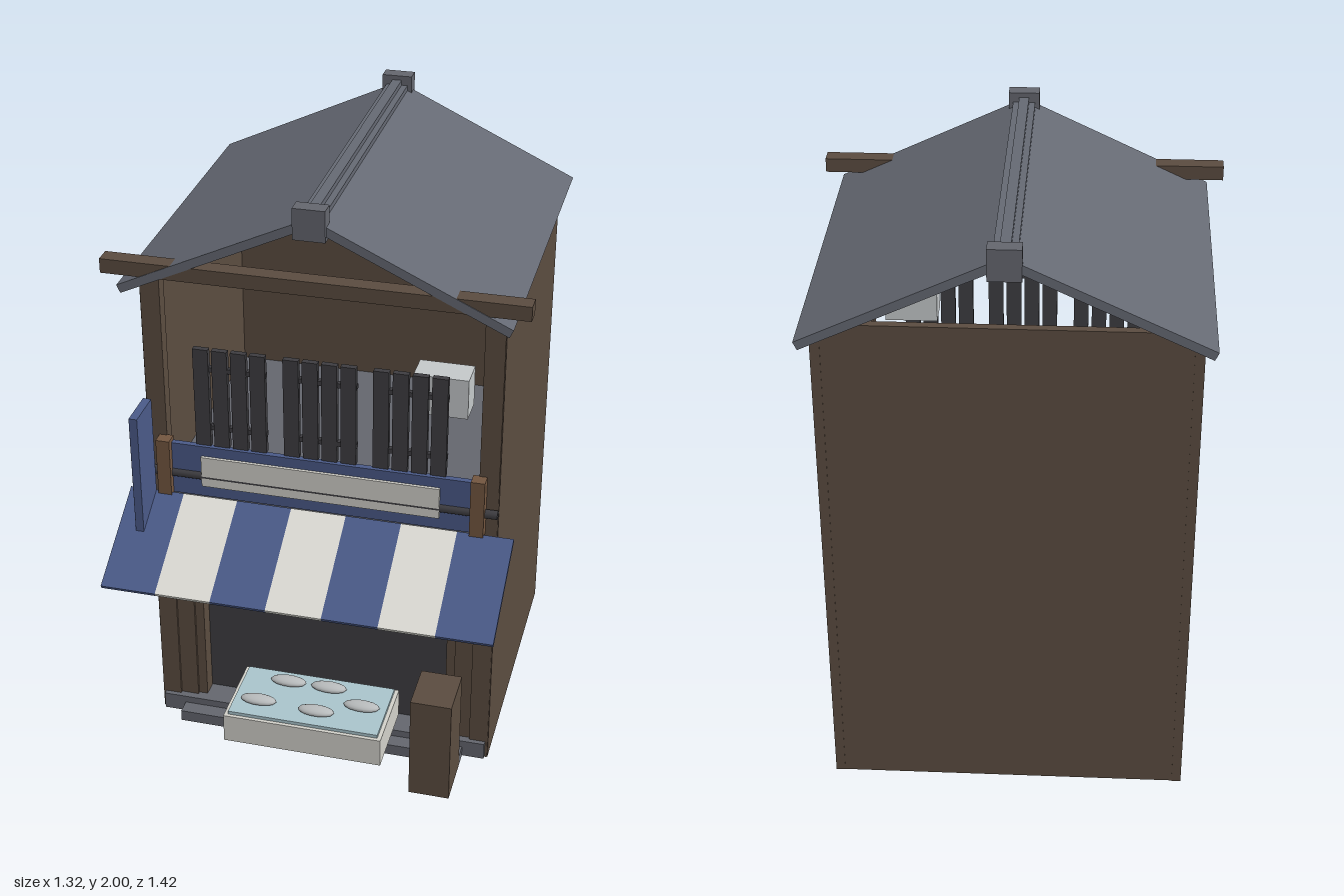
import * as THREE from 'three';

const COLORS = {
  wood: 0x5b4c40, lightWood: 0x735640, stone: 0x64666e, roof: 0x656973, dark: 0x3e3d41,
  blue: 0x4a5a88, cream: 0xd2d1ca, white: 0xdddcd5, ice: 0xa9c4cc, fish: 0xb9bcbd,
  orange: 0xd87148, metal: 0xc4c8ca,
};
const materials = {};
for (const [key, color] of Object.entries(COLORS)) {
  materials[key] = new THREE.MeshStandardMaterial({ color });
}

export function createModel() {
  const model = new THREE.Group();
  model.name = 'shopHouse';

  const add = (name, geometry, mat, parent = model) => {
    const mesh = new THREE.Mesh(geometry, materials[mat]);
    mesh.name = name;
    parent.add(mesh);
    return mesh;
  };
  // Box given by its minimum and maximum on each axis
  const box = (name, mat, [x0, x1], [y0, y1], [z0, z1], parent = model) => {
    const mesh = add(name, new THREE.BoxGeometry(x1 - x0, y1 - y0, z1 - z0), mat, parent);
    mesh.position.set((x0 + x1) / 2, (y0 + y1) / 2, (z0 + z1) / 2);
    return mesh;
  };
  // The same box on both sides of x = 0
  const pair = (name, mat, [x0, x1], ys, zs) => {
    box(name, mat, [x0, x1], ys, zs);
    box(name, mat, [-x1, -x0], ys, zs);
  };
  const rod = (name, mat, radius, length, x, y, z) => {
    const mesh = add(name, new THREE.CylinderGeometry(radius, radius, length, 10), mat);
    mesh.rotation.z = Math.PI / 2;
    mesh.position.set(x, y, z);
  };

  // Base and floors
  box('foundation', 'stone', [-0.565, 0.565], [0.004, 0.065], [-0.61, 0.38]);
  box('frontStep', 'stone', [-0.49, 0.49], [0, 0.04], [0.36, 0.43]);
  box('upperFloor', 'stone', [-0.55, 0.55], [0.87, 0.89], [-0.6, 0.35]);

  // Open-fronted shell
  pair('sideWall', 'wood', [0.545, 0.575], [0, 1.665], [-0.6, 0.36]);
  box('backWall', 'wood', [-0.55, 0.55], [0, 1.7], [-0.618, -0.59]);
  pair('backCornerPost', 'wood', [0.545, 0.575], [0, 1.67], [-0.62, -0.588]);
  pair('frontPost', 'wood', [0.51, 0.573], [0, 1.69], [0.32, 0.364]);

  // Ground floor shop front
  pair('doorPost', 'wood', [0.45, 0.51], [0.065, 0.88], [0.31, 0.355]);
  pair('doorJamb', 'wood', [0.42, 0.45], [0.065, 0.88], [0.28, 0.345]);
  box('shopBackPanel', 'dark', [-0.45, 0.45], [0.065, 0.87], [0.27, 0.29]);
  box('lintel', 'dark', [-0.51, 0.51], [0.77, 0.885], [0.34, 0.38]);
  rod('curtainRod', 'wood', 0.01, 0.84, 0, 0.7, 0.335);
  for (const x of [-0.17, 0, 0.17]) {
    box('curtain', 'blue', [x - 0.07, x + 0.07], [0.5, 0.695], [0.33, 0.342]);
  }

  // Striped awning
  const awning = new THREE.Group();
  awning.name = 'awning';
  awning.position.set(0, 0.82, 0.55);
  awning.rotation.x = Math.atan2(0.18, 0.315);
  for (let i = 0; i < 7; i++) {
    const x = -0.632 + i * 0.1805;
    box('awningStripe', i % 2 ? 'white' : 'blue', [x, x + 0.1805],
      [-0.007, 0.007], [-0.182, 0.182], awning);
  }
  model.add(awning);

  // Main sign with its brackets and rail
  box('signBoard', 'blue', [-0.5, 0.5], [0.91, 1.095], [0.362, 0.382]);
  box('signPanel', 'cream', [-0.39, 0.39], [0.952, 1.06], [0.38, 0.392]);
  pair('signBracket', 'lightWood', [0.49, 0.535], [0.905, 1.11], [0.36, 0.405]);
  rod('signRail', 'dark', 0.015, 1.15, 0, 0.985, 0.378);

  // Hanging side sign
  box('sideSign', 'blue', [-0.572, -0.545], [0.785, 1.255], [0.395, 0.53]);
  box('sideSignPanel', 'cream', [-0.579, -0.57], [0.82, 1.22], [0.412, 0.513]);
  box('sideSignArm', 'dark', [-0.585, -0.56], [1.145, 1.17], [0.22, 0.4]);

  // Upper window lattices
  for (const cx of [-0.292, 0, 0.288]) {
    const lattice = new THREE.Group();
    lattice.name = 'windowLattice';
    for (let i = 0; i < 4; i++) {
      const x = cx - 0.118 + i * 0.0615;
      box('latticeBar', 'dark', [x, x + 0.05], [1.095, 1.44], [0.35, 0.37], lattice);
    }
    for (const y of [1.16, 1.37]) {
      box('latticeRail', 'dark', [cx - 0.118, cx + 0.118], [y - 0.008, y + 0.008], [0.348, 0.366], lattice);
    }
    model.add(lattice);
  }

  // Air conditioner standing behind the lattice
  box('airConditioner', 'metal', [0.28, 0.455], [1.27, 1.405], [0.2, 0.3]);

  // Roof slabs, ridge and eaves beam
  const slope = Math.atan(0.47);
  for (const side of [-1, 1]) {
    const length = 0.607 / Math.cos(slope);
    const slab = add('roofSlab', new THREE.BoxGeometry(length, 0.028, 1.155), 'roof');
    slab.position.set(side * 0.3, 1.811, -0.115);
    slab.rotation.z = -side * slope;
  }
  box('ridgeBase', 'roof', [-0.036, 0.036], [1.93, 1.968], [-0.68, 0.45]);
  box('ridgeCap', 'roof', [-0.016, 0.016], [1.96, 1.985], [-0.68, 0.45]);
  for (const z of [0.45, -0.685]) {
    box('ridgeEnd', 'stone', [-0.05, 0.05], [1.9, 2], [z - 0.025, z + 0.025]);
  }
  box('eavesBeam', 'wood', [-0.66, 0.66], [1.715, 1.762], [0.405, 0.46]);

  // Lanterns
  for (const x of [-0.305, 0, 0.305]) {
    const lantern = add('lantern', new THREE.SphereGeometry(1, 20, 14), 'orange');
    lantern.scale.set(0.049, 0.06, 0.049);
    lantern.position.set(x, 0.665, 0.53);
  }

  // Fish crate on display
  box('displayCrate', 'cream', [-0.268, 0.265], [0.12, 0.222], [0.36, 0.632]);
  box('iceBed', 'ice', [-0.255, 0.252], [0.22, 0.234], [0.372, 0.62]);
  for (const [x, z] of [[-0.17, 0.55], [-0.1, 0.43], [0.03, 0.56], [0.04, 0.43], [0.17, 0.5]]) {
    const fish = add('fish', new THREE.SphereGeometry(1, 14, 8), 'fish');
    fish.scale.set(0.062, 0.015, 0.026);
    fish.position.set(x, 0.246, z);
  }

  // Tall stand beside the step
  box('stand', 'wood', [0.355, 0.49], [0, 0.375], [0.43, 0.6]);

  return model;
}
